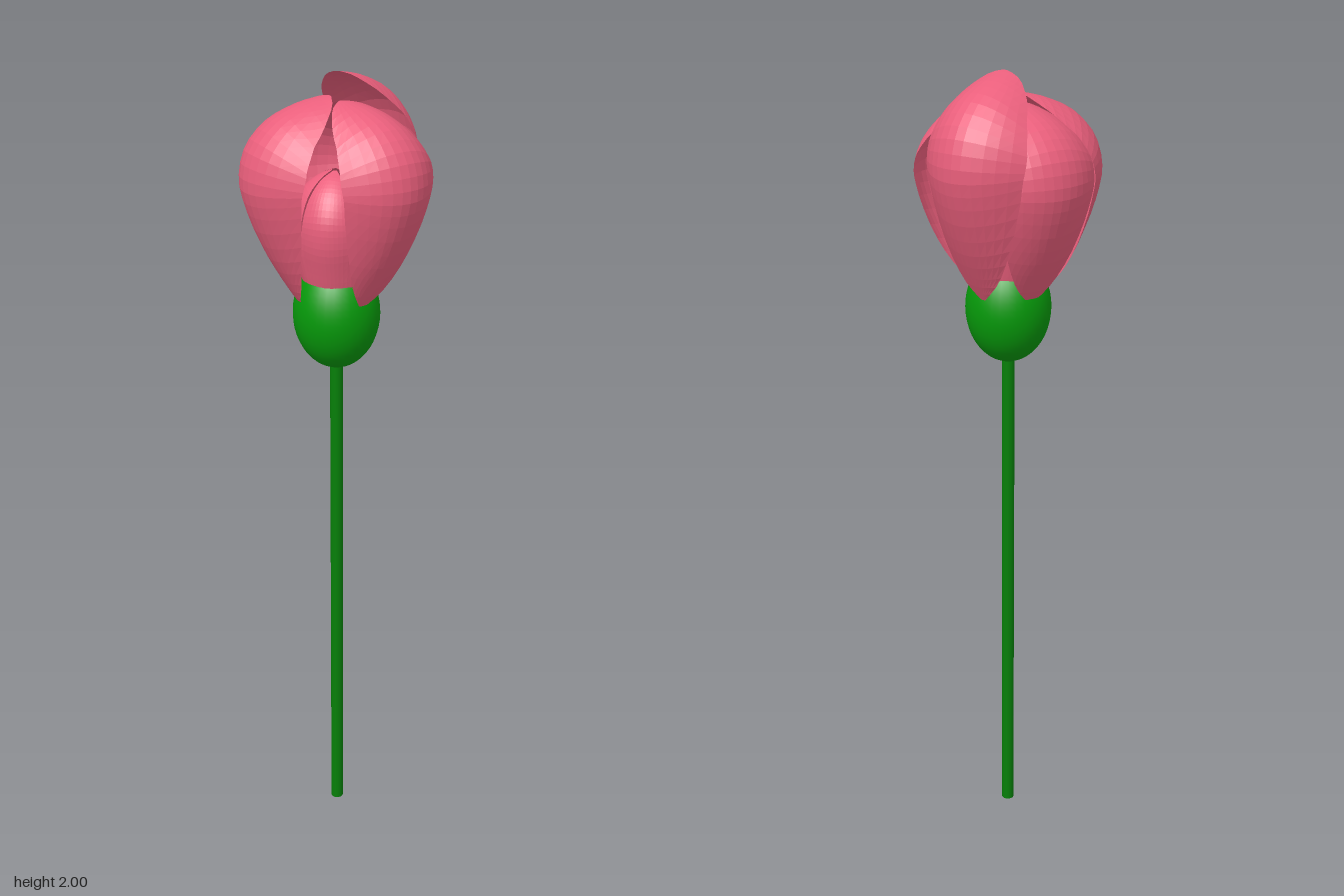
import * as THREE from 'three';

const AXIS = { x: -0.006, z: 0.027 }; // stem axis
const rad = THREE.MathUtils.degToRad;

const pink = new THREE.MeshStandardMaterial({ color: 0xea5f7c, flatShading: true, side: THREE.DoubleSide });
const green = new THREE.MeshStandardMaterial({ color: 0x06990a });
const stemGreen = new THREE.MeshStandardMaterial({ color: 0x067f08 });
const yellow = new THREE.MeshStandardMaterial({ color: 0xd8c020 });

// Petal outline as [radius, height, half width] from base to tip
const OUTER = [
  [0.095, 0, 0.006], [0.125, 0.05, 0.055], [0.168, 0.13, 0.097], [0.208, 0.23, 0.126],
  [0.224, 0.31, 0.136], [0.205, 0.39, 0.136], [0.152, 0.45, 0.122], [0.085, 0.482, 0.095],
  [0.035, 0.495, 0.052], [0.015, 0.499, 0.006],
];
const INNER = [
  [0.07, 0, 0.045], [0.09, 0.07, 0.055], [0.107, 0.14, 0.061], [0.106, 0.2, 0.058],
  [0.08, 0.255, 0.046], [0.045, 0.285, 0.028], [0.01, 0.3, 0.004],
];

// A cupped sheet swept along an outline; its sides curl in along the outline's normal.
// The angle is measured from the front towards +x; lean pushes the blade sideways.
function petal(name, outline, { angle, base, reach = 1, tall = 1, wide = 1, curl = 4, lean = 0 }) {
  const curve = new THREE.CatmullRomCurve3(outline.map(p => new THREE.Vector3(...p)));
  const geo = new THREE.PlaneGeometry(1, 1, 12, 24);
  const pos = geo.attributes.position;
  for (let i = 0; i < pos.count; i++) {
    const v = pos.getX(i) * 2, t = pos.getY(i) + 0.5;
    const p = curve.getPoint(t), d = curve.getTangent(t);
    const half = p.z * wide;
    const inward = curl * (half * v) ** 2 / Math.hypot(d.x, d.y);
    pos.setXYZ(i, half * (v + lean), base + p.y * tall + inward * d.x, p.x * reach - inward * d.y);
  }
  geo.computeVertexNormals();
  const mesh = new THREE.Mesh(geo, pink);
  mesh.name = name;
  mesh.rotation.y = rad(angle);
  return mesh;
}

export function createModel() {
  const flower = new THREE.Group();
  flower.name = 'flowerBud';
  const plant = new THREE.Group();
  plant.name = 'plant';
  plant.position.set(AXIS.x, 0, AXIS.z);
  flower.add(plant);

  // Stem
  const stem = new THREE.Mesh(new THREE.CylinderGeometry(0.016, 0.016, 1.34, 16), stemGreen);
  stem.name = 'stem';
  stem.position.y = 0.67;
  plant.add(stem);

  // Egg-shaped bulb under the petals
  const bulb = new THREE.Mesh(new THREE.SphereGeometry(1, 32, 24), green);
  bulb.name = 'bulb';
  bulb.scale.set(0.105, 0.137, 0.105);
  bulb.position.y = 1.434;
  plant.add(bulb);

  // Large outer petals, closing overhead
  const outer = [
    { angle: -50, base: 1.47, tall: 0.96, wide: 1.04, curl: 4.2, lean: -0.14 },
    { angle: 52, base: 1.47, tall: 0.94, wide: 0.96, curl: 4.5, lean: 0.28 },
    { angle: 155, base: 1.475, reach: 1.07, tall: 1.05, wide: 1.02, curl: 4.5, lean: 0.12 },
    { angle: 226, base: 1.465, reach: 0.96, tall: 0.93, curl: 3.3 },
  ];
  outer.forEach(o => plant.add(petal('outerPetal', OUTER, o)));

  // Small inner petals, closed around the stamens
  for (const angle of [0, 72, 144, 216, 288]) {
    plant.add(petal('innerPetal', INNER, { angle, base: 1.48, curl: 7 }));
  }

  // Stamens in the middle
  for (let i = 0; i < 6; i++) {
    const a = rad(i * 60 + 20);
    const at = (r, y) => new THREE.Vector3(Math.sin(a) * r, y, Math.cos(a) * r);
    const path = new THREE.QuadraticBezierCurve3(at(0.015, 1.54), at(0.02, 1.61), at(0.045, 1.66));
    const filament = new THREE.Mesh(new THREE.TubeGeometry(path, 6, 0.004, 6), yellow);
    filament.name = 'filament';
    const anther = new THREE.Mesh(new THREE.SphereGeometry(0.011, 10, 8), yellow);
    anther.name = 'anther';
    anther.position.copy(at(0.045, 1.66));
    plant.add(filament, anther);
  }
  return flower;
}
